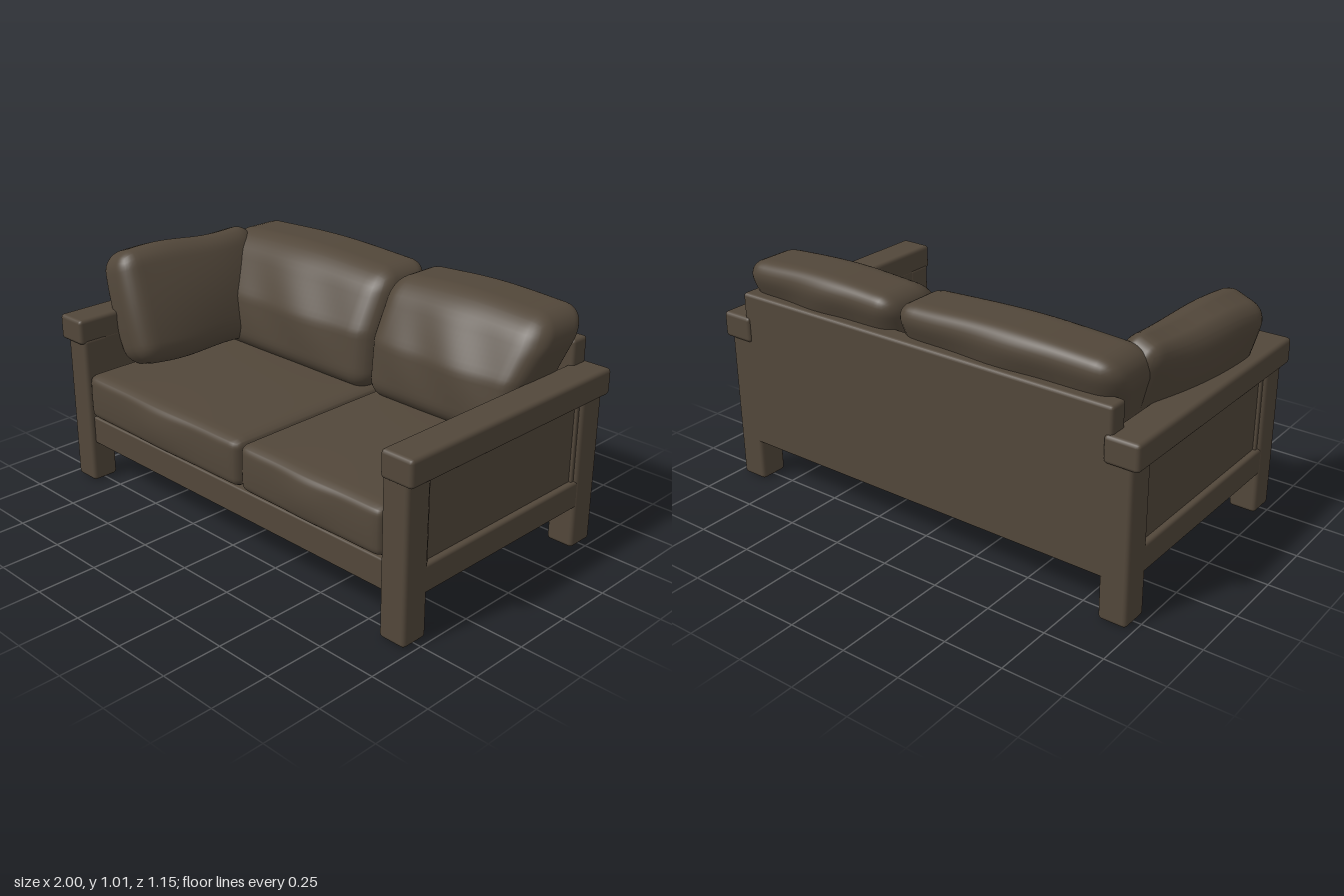
import * as THREE from 'three';
import { RoundedBoxGeometry } from 'three/addons/geometries/RoundedBoxGeometry.js';
import { mergeVertices } from 'three/addons/utils/BufferGeometryUtils.js';

const brown = new THREE.MeshStandardMaterial({ color: 0x52473a });
brown.name = 'brown';

const { clamp, lerp } = THREE.MathUtils;

// Frame board given by its extents on each axis
function board(name, [x0, x1], [y0, y1], [z0, z1], radius = 0.012) {
  const geo = new RoundedBoxGeometry(x1 - x0, y1 - y0, z1 - z0, 2, radius);
  const mesh = new THREE.Mesh(geo, brown);
  mesh.name = name;
  mesh.position.set((x0 + x1) / 2, (y0 + y1) / 2, (z0 + z1) / 2);
  return mesh;
}

// Finely divided rounded box, reshaped by deform(p, u, v, w) with u, v, w in -1..1
function cushion(name, w, h, d, r, deform) {
  let geo = new THREE.BoxGeometry(w, h, d, 36, 24, 30);
  geo.deleteAttribute('uv');
  geo.deleteAttribute('normal');
  geo = mergeVertices(geo, 1e-5);
  const pos = geo.attributes.position;
  const p = new THREE.Vector3(), core = new THREE.Vector3();
  const lim = new THREE.Vector3(w / 2 - r, h / 2 - r, d / 2 - r);
  const neg = lim.clone().negate();
  for (let i = 0; i < pos.count; i++) {
    p.fromBufferAttribute(pos, i);
    core.copy(p).clamp(neg, lim);
    p.sub(core).setLength(r).add(core);
    deform(p, (2 * p.x) / w, (2 * p.y) / h, (2 * p.z) / d);
    pos.setXYZ(i, p.x, p.y, p.z);
  }
  geo.computeVertexNormals();
  const mesh = new THREE.Mesh(geo, brown);
  mesh.name = name;
  return mesh;
}

// Piecewise linear lookup with eased steps
function follow(points, t) {
  let i = 0;
  while (i < points.length - 2 && t > points[i + 1][0]) i++;
  const [a, va] = points[i], [b, vb] = points[i + 1];
  return lerp(va, vb, clamp((t - a) / (b - a), 0, 1));
}

const dome = (a, b) => Math.max(0, 1 - a * a) * Math.max(0, 1 - b * b);

// Seat cushion with a crowned top and a softly scalloped front
function seat(name, x0, x1) {
  const mesh = cushion(name, x1 - x0, 0.2, 0.96, 0.035, (p, u, v, w) => {
    p.y += 0.012 * v * dome(u, w);
    if (w > 0) {
      const scallop = 0.75 + 0.25 * Math.cos(u * Math.PI * 2);
      p.z += 0.022 * scallop * w ** 6 * dome(u * 0.95, v * 0.9);
    }
  });
  mesh.position.set((x0 + x1) / 2, 0.408, 0.075);
  return mesh;
}

// Leaning back cushion; outer is the side that spreads over the arm
const leanCentre = [[0.5, -0.285], [0.75, -0.305], [0.9, -0.375], [1, -0.42]];
function backCushion(name, x0, x1, outer) {
  const mesh = cushion(name, x1 - x0, 0.5, 0.3, 0.085, (p, u, v, w) => {
    const y = p.y + 0.745;
    p.z = p.z * (1.04 - 0.04 * v) + follow(leanCentre, y);
    p.z += 0.03 * w * dome(u, v);
    p.z += 0.006 * Math.sin(u * 7 + v * 3) * dome(u, v) * w;
    p.y += 0.01 * Math.max(v, 0) * Math.cos(u * 2.6);
    // Squeezed between the arms, fuller above them
    const side = u * outer;
    if (side > 0) p.x += outer * side ** 3 * follow([[0.5, -0.04], [0.72, -0.035], [0.88, 0.008], [1, 0]], y);
  });
  mesh.position.set((x0 + x1) / 2, 0.745, 0);
  return mesh;
}

export function createModel() {
  const sofa = new THREE.Group();
  sofa.name = 'sofa';

  // Arms: legs, lower rail, recessed panel and wide top rail, mirrored
  for (const s of [-1, 1]) {
    const arm = new THREE.Group();
    arm.name = s > 0 ? 'leftArm' : 'rightArm';
    const span = (a, b) => (s > 0 ? [a, b] : [-b, -a]);
    arm.add(
      board('frontLeg', span(0.852, 0.972), [0, 0.66], [0.44, 0.56], 0.016),
      board('backLeg', span(0.852, 0.972), [0, 0.66], [-0.565, -0.44], 0.016),
      board('lowerRail', span(0.855, 0.97), [0.18, 0.296], [-0.46, 0.46]),
      board('sidePanel', span(0.855, 0.945), [0.2, 0.66], [-0.46, 0.46]),
      board('armRest', span(0.855, 1), [0.64, 0.75], [-0.575, 0.575], 0.016),
    );
    // Thin trim framing the recessed panel
    for (const z of [-0.435, 0.435]) {
      arm.add(board('panelTrim', span(0.93, 0.957), [0.28, 0.65], [z - 0.01, z + 0.01], 0.006));
    }
    sofa.add(arm);
  }

  // Base and back
  sofa.add(
    board('base', [-0.9, 0.9], [0.18, 0.304], [-0.555, 0.54], 0.008),
    board('backPanel', [-0.94, 0.94], [0.18, 0.7], [-0.565, -0.48], 0.008),
    board('backTop', [-0.885, 0.885], [0.6, 0.855], [-0.565, -0.48], 0.014),
  );

  // Seat and back cushions, divided a little left of centre
  sofa.add(
    seat('rightSeatCushion', -0.855, 0.107),
    seat('leftSeatCushion', 0.113, 0.852),
    backCushion('rightBackCushion', -0.87, 0.112, -1),
    backCushion('leftBackCushion', 0.108, 0.895, 1),
  );

  // Loose pillow leaning on the right arm
  const pillow = cushion('pillow', 0.22, 0.5, 0.7, 0.075, (p, u, v, w) => {
    p.x *= 0.84 + 0.36 * dome(u * 0.2, v) * (1 - w * w) + 0.14 * w;
    p.y *= 1 - 0.04 * (1 - v * v) * w * w;
    p.y += 0.008 * Math.sin(w * 4) * v;
    p.z += 0.015 * w * (1 - v * v);
  });
  pillow.rotation.set(0, -0.11, 0.34, 'YXZ');
  pillow.position.set(-0.795, 0.755, 0.025);
  sofa.add(pillow);

  return sofa;
}
